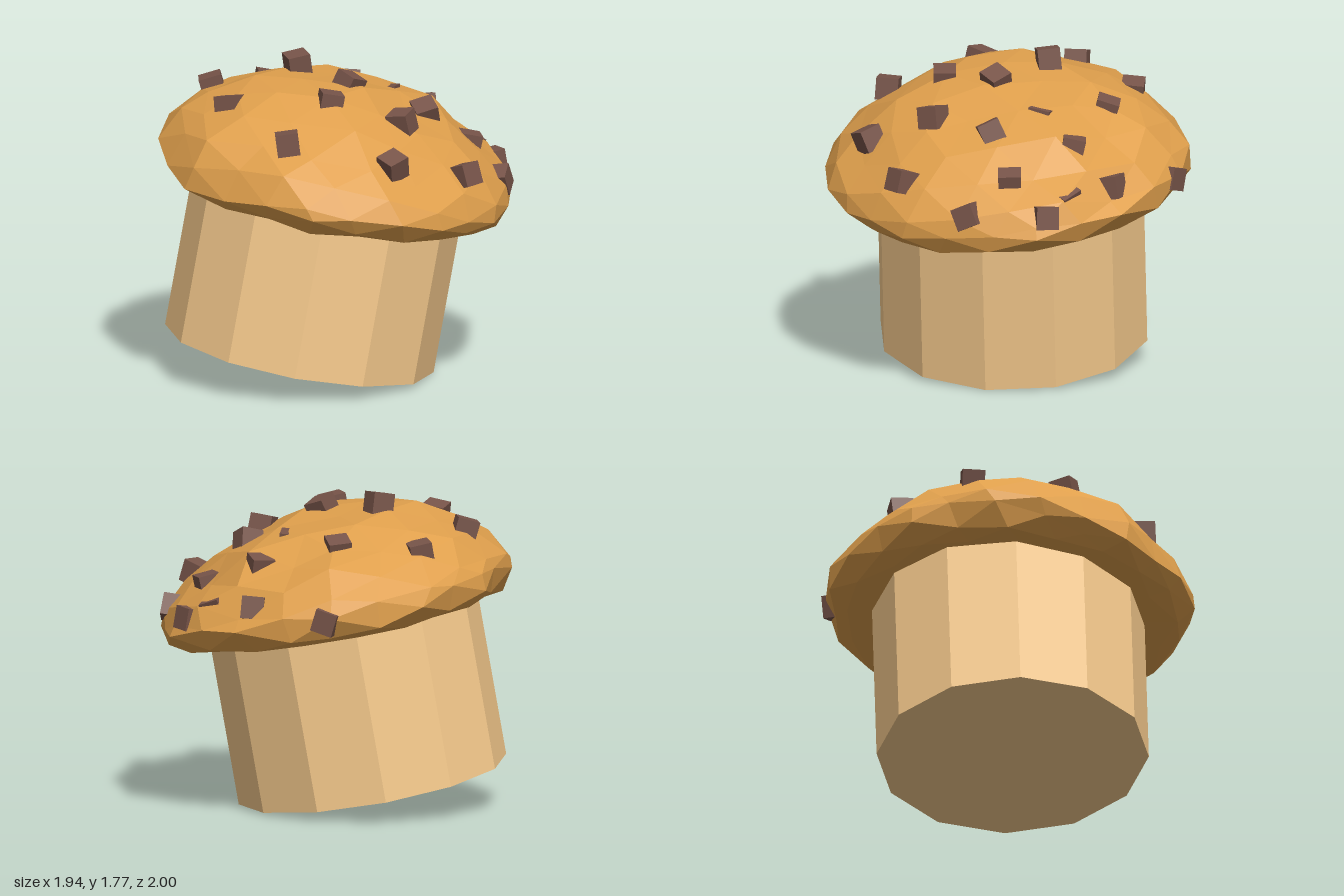
import * as THREE from 'three';

const RIM_Y = 1.165, DOME = 0.5;
// cap outline radius every 20 degrees, from +x towards +z
const OUTLINE = [0.97, 0.98, 1.0, 1.03, 0.95, 1.02, 0.96, 1.01, 0.94,
  0.97, 0.98, 1.02, 1.02, 1.0, 1.01, 1.0, 0.985, 0.975];
function outline(x, z) {
  const n = OUTLINE.length;
  const a = ((Math.atan2(z, x) / (2 * Math.PI) + 1) % 1) * n;
  const i = Math.floor(a);
  return THREE.MathUtils.lerp(OUTLINE[i % n], OUTLINE[(i + 1) % n], a - i);
}
// tilted plane through the widest part of the cap
const rimPlane = (x, z) => RIM_Y - 0.147 * x + 0.09 * z;
// dome height above that plane
const domeRise = (r2) => DOME * Math.pow(Math.max(0, 1 - r2), 0.7);
// repeatable position-based noise in -1..1, the same for shared corners
function noise(x, y, z, k) {
  return Math.sin(11 * x + 5 * z + k) * Math.cos(9 * z - 7 * y + 2 * k);
}

function part(name, geometry, color) {
  const material = new THREE.MeshStandardMaterial({ color, flatShading: true });
  const mesh = new THREE.Mesh(geometry, material);
  mesh.name = name;
  return mesh;
}

// Lumpy faceted dome with a flat underside and a drooping front rim
function capGeometry() {
  const geo = new THREE.IcosahedronGeometry(1, 3);
  geo.rotateX(0.35).rotateY(0.6);
  const p = geo.attributes.position;
  for (let i = 0; i < p.count; i++) {
    const x = p.getX(i), y = p.getY(i), z = p.getZ(i);
    const lump = y > -0.12 ? 1 : 0;
    const spread = outline(x, z) * (y < -0.15 ? 0.96 : 1);
    const nx = x * spread + lump * 0.025 * noise(x, y, z, 1);
    const nz = z * spread + lump * 0.025 * noise(x, y, z, 4);
    const droop = (lump ? 0.09 * Math.max(0, 1 - Math.abs(y) / 0.35) : 0.03) * Math.max(0, z) ** 2;
    const h = y > 0 ? domeRise(1 - y * y) : Math.max(y * 0.5, -0.13);
    p.setXYZ(i, nx, h - droop + lump * 0.03 * noise(x, y, z, 7), nz);
  }
  // centre the outline, then tilt by shearing onto the rim plane
  geo.computeBoundingBox();
  const { min, max } = geo.boundingBox;
  for (let i = 0; i < p.count; i++) {
    const x = ((p.getX(i) - min.x) / (max.x - min.x) - 0.5) * 1.94;
    const z = ((p.getZ(i) - min.z) / (max.z - min.z) - 0.5) * 2;
    p.setXYZ(i, x, p.getY(i) + rimPlane(x, z), z);
  }
  geo.computeVertexNormals();
  return geo;
}

export function createModel() {
  const model = new THREE.Group();
  model.name = 'muffin';

  // Twelve-sided leaning base
  const length = 1.0;
  const baseGeo = new THREE.CylinderGeometry(0.752, 0.752, length, 12, 1, false, THREE.MathUtils.degToRad(12));
  baseGeo.translate(0, length / 2, 0);
  const base = part('base', baseGeo, 0xfccf90);
  const axis = new THREE.Vector3(0.12, 1, -0.13).normalize();
  base.quaternion.setFromUnitVectors(new THREE.Vector3(0, 1, 0), axis);
  base.position.set(-0.15, 0.132, 0.15);
  model.add(base);

  // Cap
  model.add(part('cap', capGeometry(), 0xdf9f4c));

  // Chips: x, z, turn in degrees, depth sunk into the cap
  const chips = [
    [-0.53, -0.79, 20, 0.1], [-0.08, -0.86, 30, 0.08], [0.2, -0.82, 10, 0.09],
    [0.36, -0.85, -20, 0.06], [0.03, -0.65, -35, 0.04], [0.42, -0.6, -35, 0.08],
    [0.68, -0.57, -60, 0.08], [-0.35, -0.44, -40, 0.05], [0.03, -0.36, 30, 0.08],
    [0.35, -0.33, -30, 0.03], [-0.72, -0.18, -40, 0.05], [0.83, -0.15, 0, 0.01],
    [-0.29, 0.02, -28, -0.02], [0.08, 0, 5, 0.01], [0.5, 0.01, 20, 0],
    [-0.68, 0.29, 45, 0.02], [0.22, 0.29, -35, 0], [0.72, 0.31, -8, 0],
    [-0.25, 0.6, 15, 0.03], [0.3, 0.71, 45, -0.02],
  ];
  const chipGroup = new THREE.Group();
  chipGroup.name = 'chips';
  const chipGeo = new THREE.BoxGeometry(0.125, 0.125, 0.125);
  chips.forEach(([x, z, turn, sink], i) => {
    const chip = part('chip', chipGeo, 0x775449);
    chip.position.set(x, rimPlane(x, z) + domeRise(x * x + z * z) - sink, z);
    chip.rotation.set(0.3 * Math.sin(i * 2.3), THREE.MathUtils.degToRad(turn), 0.3 * Math.cos(i * 1.7));
    chipGroup.add(chip);
  });
  model.add(chipGroup);
  return model;
}
